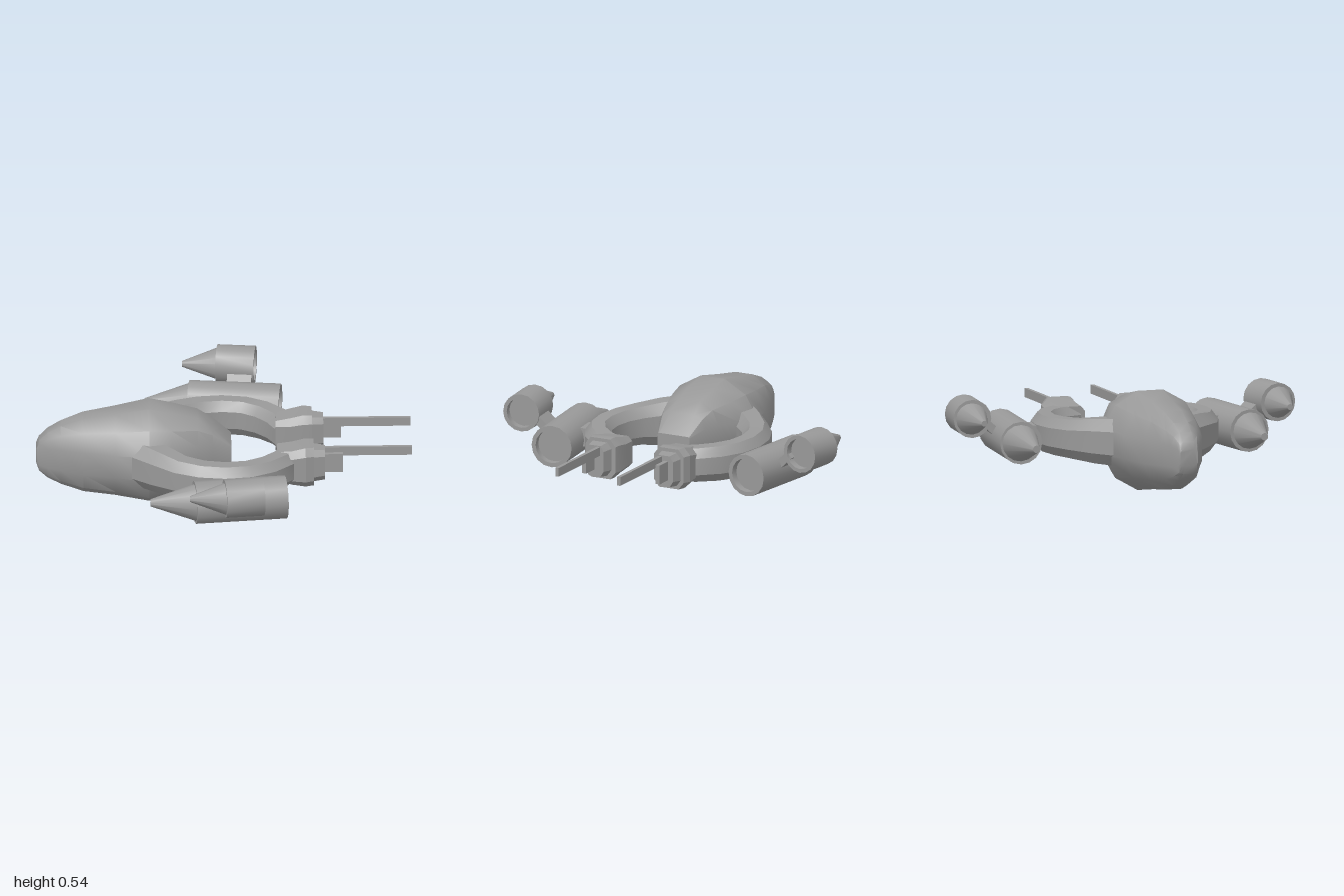
import * as THREE from 'three';
import { toCreasedNormals } from 'three/addons/utils/BufferGeometryUtils.js';

const hullGrey = new THREE.MeshStandardMaterial({ color: 0x999999 });
hullGrey.name = 'hullGrey';

// Rounded-box ring of n points facing along (tx, tz); p = 1 is an ellipse, smaller is boxier
function ring(x, y, z, halfY, halfW, p, n, tx = 1, tz = 0) {
  const points = [], peak = Math.cos(Math.PI / n) ** p;
  const bend = (v) => Math.sign(v) * Math.abs(v) ** p / peak;
  for (let i = 0; i < n; i++) {
    const a = ((i + 0.5) / n) * Math.PI * 2;
    const w = bend(Math.sin(a)) * halfW;
    points.push([x - tz * w, y + bend(Math.cos(a)) * halfY, z + tx * w]);
  }
  return points;
}

// Skin a list of rings and close both ends
function loft(rings) {
  const n = rings[0].length, pos = rings.flat(2), index = [];
  const last = (rings.length - 1) * n;
  for (let r = 0; r < rings.length - 1; r++) {
    for (let j = 0; j < n; j++) {
      const k = (j + 1) % n, a = r * n + j, b = r * n + k;
      index.push(a, b, b + n, a, b + n, a + n);
    }
  }
  for (let j = 1; j < n - 1; j++) {
    index.push(0, j + 1, j, last, last + j, last + j + 1);
  }
  const geo = new THREE.BufferGeometry();
  geo.setAttribute('position', new THREE.Float32BufferAttribute(pos, 3));
  geo.setIndex(index);
  return geo;
}

// Turned shape along +x from [radius, x] pairs
function turned(profile) {
  const geo = new THREE.LatheGeometry(profile.map(([r, x]) => new THREE.Vector2(r, x)), 16);
  return geo.rotateZ(-Math.PI / 2);
}

function box(x0, x1, y0, y1, z0, z1) {
  return new THREE.BoxGeometry(x1 - x0, y1 - y0, z1 - z0)
    .translate((x0 + x1) / 2, (y0 + y1) / 2, (z0 + z1) / 2);
}

// Swap sides across z = 0, keeping faces outward
function mirrored(geo) {
  const copy = geo.index ? geo.toNonIndexed() : geo.clone();
  const p = copy.attributes.position;
  const a = new THREE.Vector3(), b = new THREE.Vector3();
  for (let i = 0; i < p.count; i += 3) {
    a.fromBufferAttribute(p, i + 1);
    b.fromBufferAttribute(p, i + 2);
    p.setXYZ(i + 1, b.x, b.y, b.z);
    p.setXYZ(i + 2, a.x, a.y, a.z);
  }
  for (let i = 0; i < p.count; i++) p.setZ(i, -p.getZ(i));
  return copy;
}

export function createModel() {
  const model = new THREE.Group();
  model.name = 'spacecraft';
  const add = (name, geo, crease = 0.5) => {
    const mesh = new THREE.Mesh(toCreasedNormals(geo, crease), hullGrey);
    mesh.name = name;
    model.add(mesh);
  };
  const addPair = (name, geo, crease) => {
    add(name + 'A', geo, crease);
    add(name + 'B', mirrored(geo), crease);
  };

  // Main hull: x, bottom, top, half width, roundness
  const hull = [
    [-1, 0.21, 0.3, 0.05, 0.4], [-0.985, 0.165, 0.34, 0.058, 0.5],
    [-0.94, 0.125, 0.385, 0.08, 0.65], [-0.87, 0.09, 0.425, 0.113, 0.8],
    [-0.75, 0.05, 0.47, 0.165, 0.9], [-0.58, 0.03, 0.5, 0.22, 1],
    [-0.4, 0, 0.535, 0.272, 1], [-0.28, 0.03, 0.51, 0.235, 0.9],
    [-0.14, 0.09, 0.475, 0.175, 0.75], [-0.06, 0.135, 0.42, 0.14, 0.5],
    [0.04, 0.18, 0.325, 0.097, 0.12],
  ].map(([x, lo, hi, w, p]) => ring(x, (lo + hi) / 2, 0, (hi - lo) / 2, w, p, 12));
  add('hull', loft(hull), 0.6);

  // Curved arms: x, z, half width, half height
  const path = [
    [-0.46, 0.13, 0.11, 0.13], [-0.33, 0.27, 0.09, 0.12], [-0.23, 0.36, 0.08, 0.105],
    [-0.12, 0.412, 0.074, 0.1], [0, 0.43, 0.072, 0.098], [0.12, 0.412, 0.072, 0.097],
    [0.22, 0.355, 0.075, 0.095], [0.3, 0.27, 0.078, 0.092], [0.34, 0.17, 0.07, 0.088],
  ];
  const arm = path.map(([x, z, w, h], i) => {
    const a = path[Math.max(i - 1, 0)], b = path[Math.min(i + 1, path.length - 1)];
    const len = Math.hypot(b[0] - a[0], b[1] - a[1]);
    return ring(x, 0.27, z, h, w, 0.8, 8, (b[0] - a[0]) / len, (b[1] - a[1]) / len);
  });
  addPair('arm', loft(arm), 0.6);

  // Gun housing, collar and barrels at the arm ends
  addPair('gunHousing', loft([
    ring(0.28, 0.275, 0.2, 0.085, 0.08, 0.4, 8),
    ring(0.36, 0.275, 0.212, 0.098, 0.098, 0.5, 8),
    ring(0.43, 0.278, 0.212, 0.112, 0.1, 0.5, 8),
    ring(0.475, 0.278, 0.207, 0.11, 0.09, 0.5, 8),
  ]), 0.3);
  addPair('gunCollar', loft([
    ring(0.46, 0.278, 0.21, 0.093, 0.072, 0.5, 8),
    ring(0.535, 0.278, 0.21, 0.085, 0.054, 0.5, 8),
  ]), 0.3);
  addPair('shortBarrel', box(0.52, 0.63, 0.23, 0.335, 0.21, 0.235));
  addPair('longBarrel', box(0.52, 1, 0.31, 0.358, 0.177, 0.197));

  // Engines: toed-in hollow barrel with a straight nose cone
  const engine = (name, x, y, z, radius, length, tipX, tipR, coneR) => {
    const barrel = turned([
      [0, 0], [radius, 0], [radius, length], [radius * 0.8, length],
      [radius * 0.8, length - 0.04], [0, length - 0.04],
    ]).rotateY(0.12).translate(x, y, z);
    const cone = turned([[0, tipX], [tipR, tipX], [coneR, x + 0.015], [0, x + 0.015]])
      .translate(0, y, z);
    addPair(name + 'Barrel', barrel);
    addPair(name + 'Cone', cone);
  };
  engine('mainEngine', -0.17, 0.25, 0.648, 0.115, 0.49, -0.405, 0.02, 0.103);
  engine('outerEngine', -0.015, 0.37, 0.868, 0.103, 0.205, -0.2, 0.016, 0.09);

  // Struts joining arm, main engine and outer engine
  addPair('innerStrut', box(-0.065, 0.065, -0.05, 0.05, -0.06, 0.06)
    .rotateY(0.12).translate(0.06, 0.265, 0.51));
  addPair('outerStrut', box(-0.065, 0.065, -0.022, 0.022, -0.06, 0.06)
    .rotateX(-0.75).rotateY(0.12).translate(0.1, 0.31, 0.735));

  return model;
}
